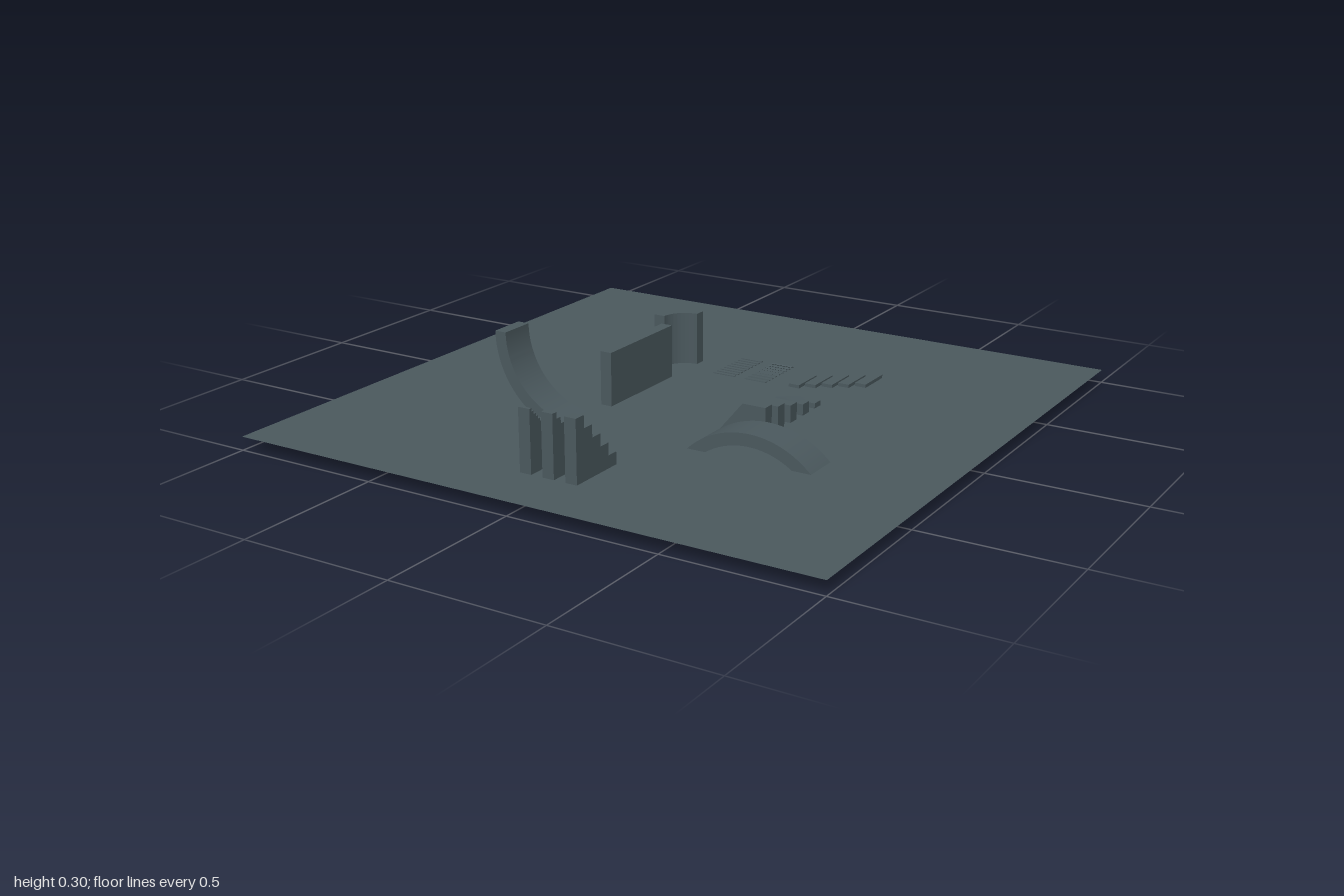
import * as THREE from 'three';
import { toCreasedNormals } from 'three/addons/utils/BufferGeometryUtils.js';

const G = 0.044; // ground height

export function createModel() {
  const group = new THREE.Group();
  const slate = new THREE.MeshStandardMaterial({ color: 0x4b595e, side: THREE.DoubleSide });
  slate.name = 'slate';

  const add = (name, geometry, x = 0, y = 0, z = 0) => {
    const mesh = new THREE.Mesh(geometry, slate);
    mesh.name = name;
    mesh.position.set(x, y, z);
    group.add(mesh);
    return mesh;
  };
  const extrude = (shape, depth) => toCreasedNormals(
    new THREE.ExtrudeGeometry(shape, { depth, bevelEnabled: false, curveSegments: 20 }), 0.5);
  // Quarter of a flat ring, starting at angle a
  const quarterRing = (a, outer, inner) => {
    const s = new THREE.Shape();
    s.absarc(0, 0, outer, a, a + Math.PI / 2, false);
    s.absarc(0, 0, inner, a + Math.PI / 2, a, true);
    return s;
  };

  // Ground sheet
  add('ground', new THREE.PlaneGeometry(2, 2).rotateX(-Math.PI / 2), 0, G, 0);

  // Three solid staircases, from fine to coarse steps, rising towards the front
  [[-0.06, 20], [0.02, 10], [0.10, 5]].forEach(([x, n]) => {
    const s = new THREE.Shape();
    const d = 0.2 / n;
    s.moveTo(0, 0);
    for (let i = 0; i < n; i++) {
      s.lineTo(i * d, (i + 1) * d);
      s.lineTo((i + 1) * d, (i + 1) * d);
    }
    s.lineTo(0.2, 0);
    add('staircase', extrude(s, 0.04).rotateY(-Math.PI / 2), x, G, 0.6);
  });

  // Quarter pipe and arched bridge share one ring section
  add('quarterPipe', extrude(quarterRing(Math.PI, 0.3, 0.26), 0.12), -0.2, 0.3, 0.26);
  add('archedBridge', extrude(quarterRing(Math.PI / 4, 0.3, 0.26), 0.12), 0.415, -0.171, 0.26);

  // Straight wall and curved wall
  add('straightWall', new THREE.BoxGeometry(0.04, 0.178, 0.36), -0.22, G + 0.089, 0);
  add('curvedWall',
    extrude(quarterRing(Math.PI / 2, 0.12, 0.08), 0.178).rotateX(-Math.PI / 2), -0.2, G, -0.26);

  // Five ramps, each steeper than the last, with a flat landing
  [0.017, 0.037, 0.057, 0.077, 0.096].forEach((h, i) => {
    const s = new THREE.Shape();
    s.moveTo(0, 0);
    s.lineTo(0.16, 0);
    s.lineTo(0.16, h);
    s.lineTo(0.08, h);
    add('ramp', extrude(s, 0.04), 0.2, G, -0.18 + i * 0.08);
  });

  // Floating steps climbing towards +x
  for (let i = 0; i < 5; i++) {
    add('floatingStep', new THREE.BoxGeometry(0.038, 0.011, 0.12),
      0.219 + i * 0.06, 0.061 + i * 0.011, -0.32);
  }

  // Two rows of rough ground slats: one level, one increasingly tilted
  for (let i = 0; i < 9; i++) {
    const z = -0.29 - i * 0.023;
    add('levelSlat', new THREE.BoxGeometry(0.08, 0.006, 0.012), -0.06, G, z);
    const slat = add('tiltedSlat', new THREE.BoxGeometry(0.08, 0.004, 0.014), 0.06, G, z);
    slat.rotation.x = -0.1 - i * 0.07;
  }

  return group;
}
